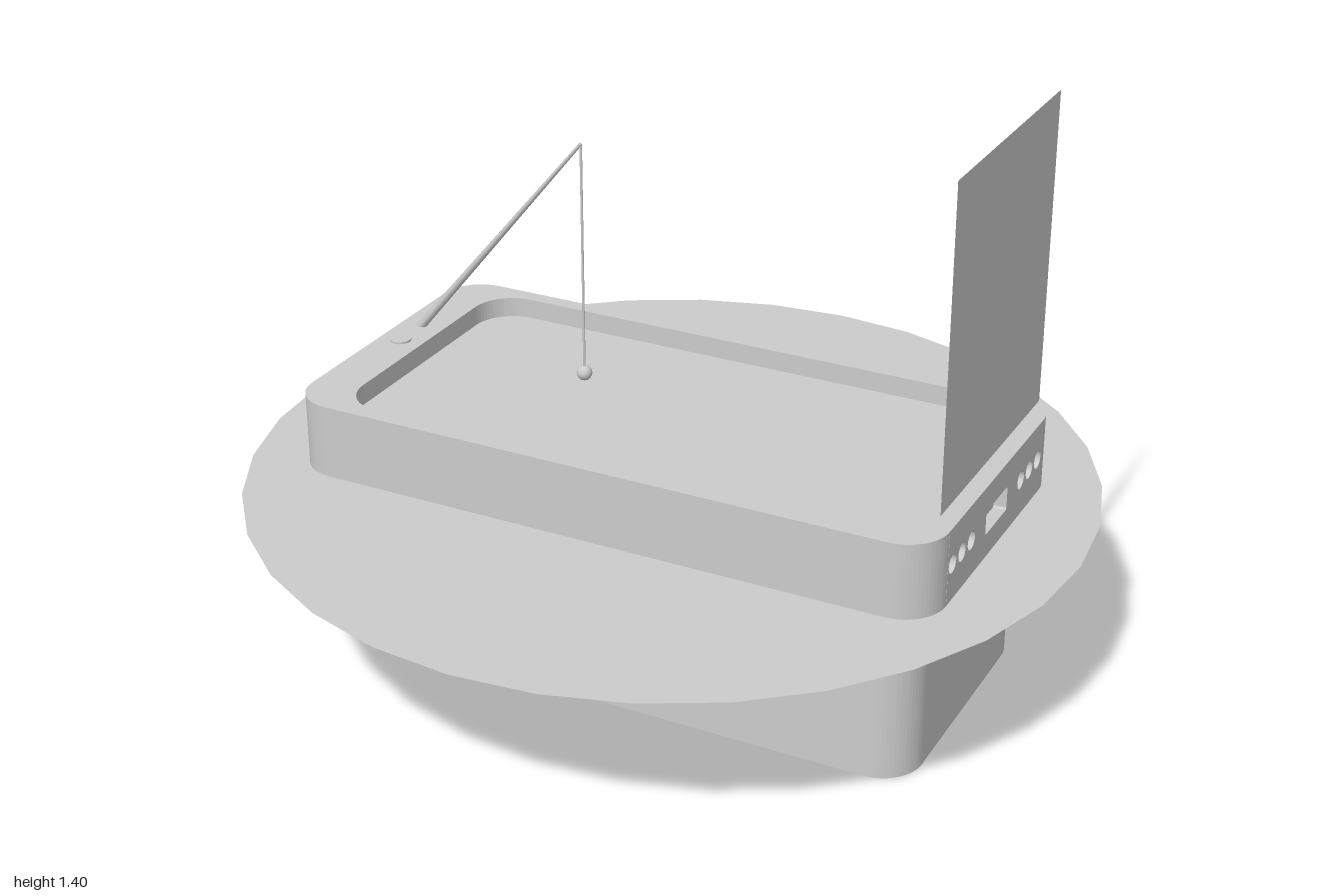
import * as THREE from 'three';

const grey = new THREE.MeshStandardMaterial({ color: 0xcccccc });
const greyThin = new THREE.MeshStandardMaterial({ color: 0xcccccc, side: THREE.DoubleSide });

// Adds a rounded rectangle outline to a path; notch cuts a slot into its right side
function roundedRect(path, x0, x1, y0, y1, r, notch) {
  path.moveTo(x0 + r, y0).lineTo(x1 - r, y0);
  path.absarc(x1 - r, y0 + r, r, -Math.PI / 2, 0);
  if (notch) {
    path.lineTo(x1 - notch.depth, -notch.half);
    path.lineTo(x1 - notch.depth, notch.half);
    path.lineTo(x1, notch.half);
  }
  path.absarc(x1 - r, y1 - r, r, 0, Math.PI / 2);
  path.absarc(x0 + r, y1 - r, r, Math.PI / 2, Math.PI);
  path.absarc(x0 + r, y0 + r, r, Math.PI, Math.PI * 1.5);
  return path;
}

function extrude(shape, depth, curveSegments = 8) {
  return new THREE.ExtrudeGeometry(shape, { depth, curveSegments, bevelEnabled: false });
}

// Tapered round bar between two points
function bar(a, b, rA, rB, sides) {
  const dir = b.clone().sub(a);
  const geo = new THREE.CylinderGeometry(rB, rA, dir.length(), sides);
  geo.applyQuaternion(new THREE.Quaternion().setFromUnitVectors(new THREE.Vector3(0, 1, 0), dir.normalize()));
  const mid = a.clone().add(b).multiplyScalar(0.5);
  return geo.translate(mid.x, mid.y, mid.z);
}

export function createModel() {
  const model = new THREE.Group();
  const add = (name, geo, material = grey) => {
    const mesh = new THREE.Mesh(geo, material);
    mesh.name = name;
    model.add(mesh);
    return mesh;
  };
  const inner = [-0.685, 0.75, -0.355, 0.355, 0.1];
  const rimBase = 0.44, rimTop = 0.62, floorY = 0.57;
  const plate = { depth: 0.03, half: 0.294 };

  // Deep lower body, whose top is the floor of the recess
  add('lowerBody', extrude(roundedRect(new THREE.Shape(), ...inner), floorY).rotateX(-Math.PI / 2));

  // Wide rim with the recess opening and a slot for the socket plate
  const rim = roundedRect(new THREE.Shape(), -0.8, 0.8, -0.395, 0.395, 0.1, plate);
  rim.holes.push(roundedRect(new THREE.Path(), ...inner));
  add('rim', extrude(rim, rimTop - rimBase).rotateX(-Math.PI / 2).translate(0, rimBase, 0));

  // End plate with a port between two rows of round holes
  const end = new THREE.Shape();
  end.moveTo(-plate.half, rimBase).lineTo(plate.half, rimBase);
  end.lineTo(plate.half, rimTop).lineTo(-plate.half, rimTop).closePath();
  for (const side of [-1, 1]) {
    for (const z of [0.156, 0.212, 0.268]) {
      end.holes.push(new THREE.Path().absarc(side * z, 0.53, 0.022, 0, Math.PI * 2));
    }
  }
  end.holes.push(roundedRect(new THREE.Path(), -0.067, 0.067, 0.498, 0.557, 0.006));
  add('socketPlate', extrude(end, plate.depth, 12).rotateY(Math.PI / 2).translate(0.8 - plate.depth, 0, 0));

  // Push button on the back side
  const button = roundedRect(new THREE.Shape(), -0.48, -0.292, 0.494, 0.56, 0.012);
  add('sideButton', extrude(button, 0.055, 2).translate(0, 0, -0.437));

  // Low round button on the rim
  add('roundButton', new THREE.CylinderGeometry(0.026, 0.026, 0.01, 20)).position.set(-0.745, rimTop, 0);

  // Round water sheet
  add('waterSheet', new THREE.CircleGeometry(1, 32).rotateX(-Math.PI / 2), greyThin).position.y = 0.438;

  // Upright thin panel over the socket end
  add('uprightPanel', new THREE.PlaneGeometry(0.615, 0.745).rotateY(Math.PI / 2), greyThin)
    .position.set(0.782, 1.0315, 0);

  // Fishing rod, line and float
  const foot = new THREE.Vector3(-0.752, 0.612, -0.096);
  const tip = new THREE.Vector3(-0.286, 1.172, -0.096);
  const end2 = new THREE.Vector3(-0.286, 0.59, -0.096);
  add('rod', bar(foot, tip, 0.011, 0.004, 8));
  add('line', bar(end2, tip, 0.003, 0.003, 6));
  add('float', new THREE.SphereGeometry(0.019, 14, 10)).position.copy(end2);

  return model;
}
